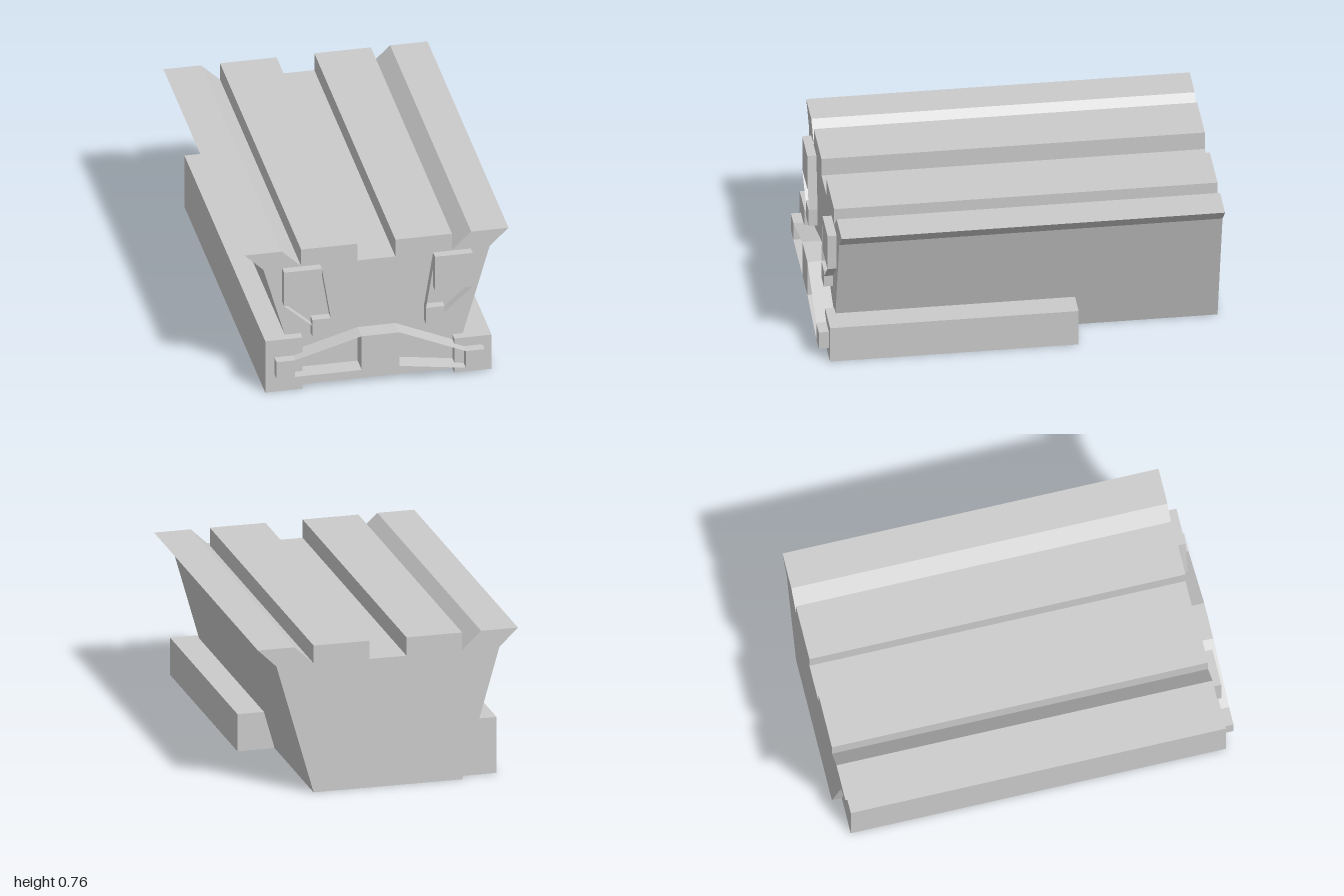
import * as THREE from 'three';

const grey = new THREE.MeshStandardMaterial({ color: 0xcccccc, flatShading: true });
const thin = new THREE.MeshStandardMaterial({ color: 0xcccccc, flatShading: true, side: THREE.DoubleSide });

const FACE = 0.905; // front plane of the main body

export function createModel() {
  const model = new THREE.Group();
  model.name = 'model';

  const add = (name, geometry, material = grey) => {
    const mesh = new THREE.Mesh(geometry, material);
    mesh.name = name;
    model.add(mesh);
    return mesh;
  };

  // Box given by its limits on each axis
  const box = (name, x0, x1, y0, y1, z0, z1) => {
    const mesh = add(name, new THREE.BoxGeometry(Math.abs(x1 - x0), y1 - y0, z1 - z0));
    mesh.position.set((x0 + x1) / 2, (y0 + y1) / 2, (z0 + z1) / 2);
  };

  // Thin sheet following a line in the front plane, with depth along z
  const sheet = (name, xa, ya, xb, yb, z0, z1) => {
    const g = new THREE.BufferGeometry();
    g.setAttribute('position', new THREE.Float32BufferAttribute(
      [xa, ya, z0, xa, ya, z1, xb, yb, z1, xb, yb, z0], 3));
    g.setIndex([0, 1, 2, 0, 2, 3]);
    g.computeVertexNormals();
    add(name, g, thin);
  };

  // Main body: tapered section with flared rims and a channelled top
  const half = [
    [0.38, 0], [0.57, 0.67], [0.665, 0.762], [0.477, 0.762], [0.38, 0.67],
    [0.38, 0.762], [0.095, 0.762], [0.095, 0.667],
  ];
  const outline = [...half, ...half.map(([x, y]) => [-x, y]).reverse()];
  const section = new THREE.Shape(outline.map(([x, y]) => new THREE.Vector2(x, y)));
  const body = add('body', new THREE.ExtrudeGeometry(section, { depth: FACE + 1, bevelEnabled: false }));
  body.position.z = -1;

  // Side rails: a short low one on the left, a long tall one on the right
  box('leftRail', 0.382, 0.57, 0, 0.193, -0.285, 0.95);
  box('rightRail', -0.57, -0.382, 0, 0.29, -0.95, 0.95);

  // Upper pads, each tied to a small block by two thin webs
  for (const [side, s] of [['left', 1], ['right', -1]]) {
    box(side + 'UpperPad', s * 0.285, s * 0.475, 0.477, 0.667, FACE, 0.95);
    box(side + 'InnerBlock', s * 0.24, s * 0.333, 0.29, 0.383, FACE, 0.95);
    sheet(side + 'InnerWeb', s * 0.285, 0.667, s * 0.24, 0.383, FACE, 0.95);
    sheet(side + 'OuterWeb', s * 0.475, 0.477, s * 0.333, 0.35, FACE, 0.95);
  }

  // Centre block with open arms running to a block on each rail
  box('centreBlock', -0.095, 0.095, 0.1, 0.29, FACE, 1);
  for (const [side, s, y0] of [['left', 1, 0.05], ['right', -1, 0.1]]) {
    box(side + 'RailBlock', s * 0.43, s * 0.524, y0, y0 + 0.094, 0.95, 1);
    sheet(side + 'ArmTop', s * 0.095, 0.29, s * 0.43, y0 + 0.094, FACE, 1);
    sheet(side + 'ArmBottom', s * 0.095, 0.1, s * 0.43, y0, FACE, 1);
  }

  return model;
}
